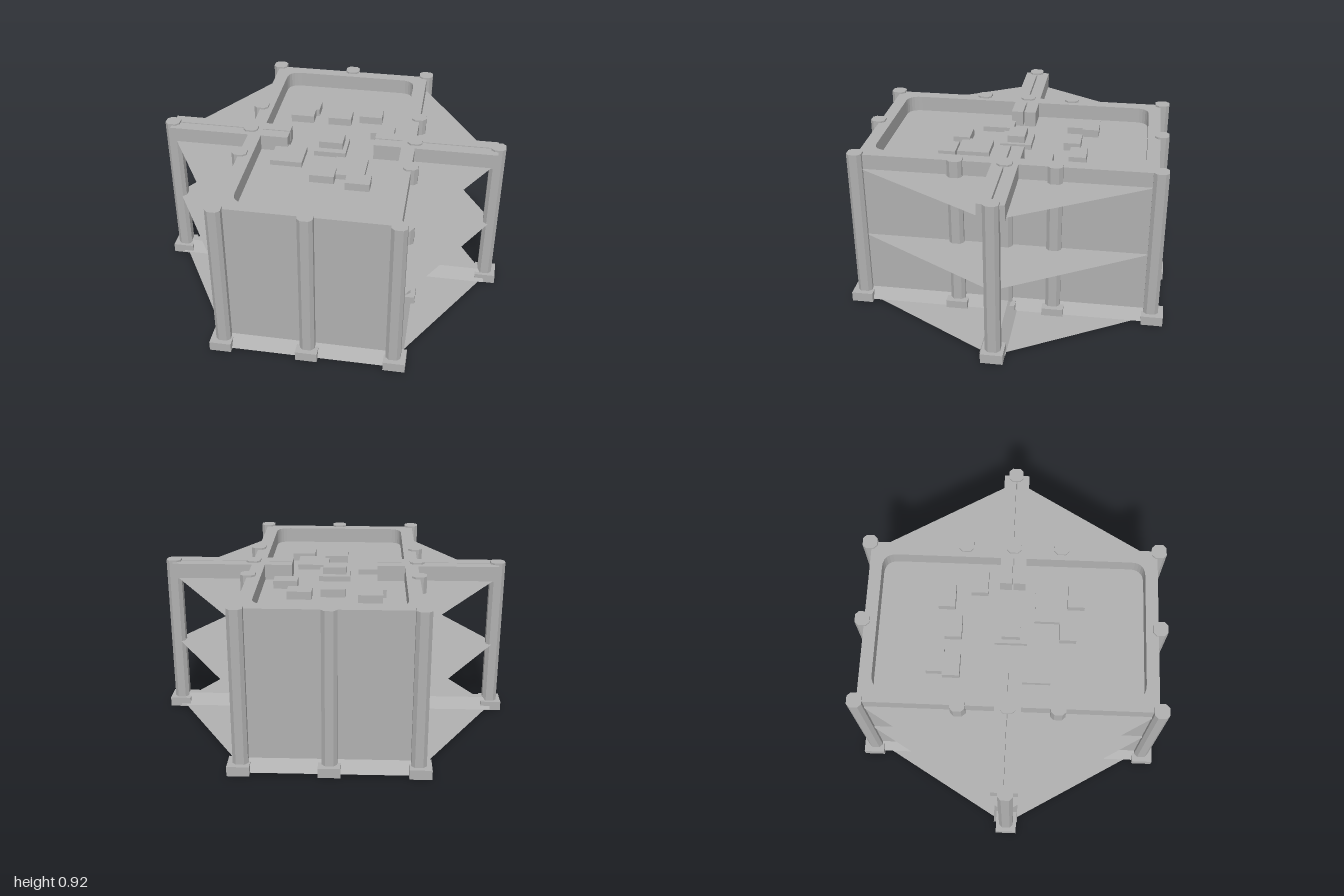
import * as THREE from 'three';

export function createModel() {
  const model = new THREE.Group();
  const concrete = new THREE.MeshStandardMaterial({ color: 0xb0b0b0 });
  concrete.name = 'concrete grey';
  const sheet = new THREE.MeshStandardMaterial({ color: 0xb0b0b0, side: THREE.DoubleSide });
  sheet.name = 'floor sheet grey';

  const add = (name, geometry, x = 0, y = 0, z = 0, material = concrete) => {
    const mesh = new THREE.Mesh(geometry, material);
    mesh.name = name;
    mesh.position.set(x, y, z);
    model.add(mesh);
    return mesh;
  };
  // Box standing on y
  const box = (name, w, h, d, x, y, z) => add(name, new THREE.BoxGeometry(w, h, d), x, y + h / 2, z);
  // Flat outline pulled upwards
  const prism = (shape, h) => new THREE.ExtrudeGeometry(shape, { depth: h, bevelEnabled: false, curveSegments: 6 }).rotateX(-Math.PI / 2);
  // Box whose lower edge spreads outwards
  const skirt = (name, w, d, spreadX, spreadZ, x) => {
    const geo = new THREE.BoxGeometry(w, 0.06, d);
    const p = geo.attributes.position;
    for (let i = 0; i < p.count; i++) {
      if (p.getY(i) < 0) {
        p.setX(i, p.getX(i) + Math.sign(p.getX(i)) * spreadX);
        p.setZ(i, p.getZ(i) + Math.sign(p.getZ(i)) * spreadZ);
      }
    }
    geo.computeVertexNormals();
    add(name, geo, x, 0.04, 0);
  };
  const roundedOutline = (path, w, d, r) => {
    path.moveTo(-w + r, -d);
    path.lineTo(w - r, -d);
    path.quadraticCurveTo(w, -d, w, -d + r);
    path.lineTo(w, d - r);
    path.quadraticCurveTo(w, d, w - r, d);
    path.lineTo(-w + r, d);
    path.quadraticCurveTo(-w, d, -w, d - r);
    path.lineTo(-w, -d + r);
    path.quadraticCurveTo(-w, -d, -w + r, -d);
    return path;
  };

  // Central hall with a sunken roof inside a parapet
  box('hallWalls', 0.95, 0.75, 1.62, 0, 0.07, 0);
  const rim = new THREE.Shape();
  rim.moveTo(-0.475, -0.81);
  rim.lineTo(0.475, -0.81);
  rim.lineTo(0.475, 0.81);
  rim.lineTo(-0.475, 0.81);
  rim.closePath();
  rim.holes.push(roundedOutline(new THREE.Path(), 0.4, 0.74, 0.08));
  add('parapet', prism(rim, 0.09), 0, 0.82, 0);
  skirt('hallSkirt', 0.95, 1.62, 0.045, 0.055, 0);

  // Columns with chamfered corners on square feet
  const a = 0.041, c = 0.022;
  const section = new THREE.Shape([
    [c, -a], [a, -c], [a, c], [c, a], [-c, a], [-a, c], [-a, -c], [-c, -a],
  ].map(([x, y]) => new THREE.Vector2(x, y)));
  const columnGeo = prism(section, 0.87);
  const column = (x, z) => {
    add('column', columnGeo, x, 0.05, z);
    const footX = Math.abs(x) > 0.9 ? Math.sign(x) * 0.94 : x * 1.02;
    box('columnFoot', 0.12, 0.055, 0.12, footX, 0, z * 1.01);
  };
  for (const z of [-0.82, 0.82]) for (const x of [-0.47, 0, 0.47]) column(x, z);

  for (const side of [-1, 1]) {
    for (const z of [-0.27, 0, 0.27]) column(side * 0.472, z);
    column(side * 0.935, -side * 0.005);

    // Twin roof beams reaching to the outer column
    for (const z of [-0.039, 0.037]) box('roofBeam', 0.69, 0.09, 0.068, side * 0.59, 0.82, z);
    skirt('wingSill', 0.46, 0.04, 0, 0.05, side * 0.705);

    // Thin triangular wing floors
    const wing = new THREE.Shape([
      new THREE.Vector2(side * 0.466, -0.81),
      new THREE.Vector2(side * 0.945, 0),
      new THREE.Vector2(side * 0.466, 0.81),
    ]);
    for (const y of [0.01, 0.42, 0.825]) {
      add('wingFloor', new THREE.ShapeGeometry(wing).rotateX(-Math.PI / 2), 0, y, 0, sheet);
    }
  }

  // Roof equipment
  const units = [
    [-0.205, -0.41], [-0.225, -0.32], [0, -0.32], [0.18, -0.365],
    [0.27, -0.185], [0, 0.315], [0.2, 0.36],
  ];
  for (const [x, z] of units) box('roofUnit', 0.135, 0.045, 0.095, x, 0.82, z);
  for (const [x, z] of [[0, 0], [-0.225, 0.135], [0.135, 0.22]]) box('roofPlinth', 0.18, 0.03, 0.18, x, 0.82, z);
  box('centralRoofUnit', 0.135, 0.04, 0.1, 0, 0.85, 0);

  return model;
}
